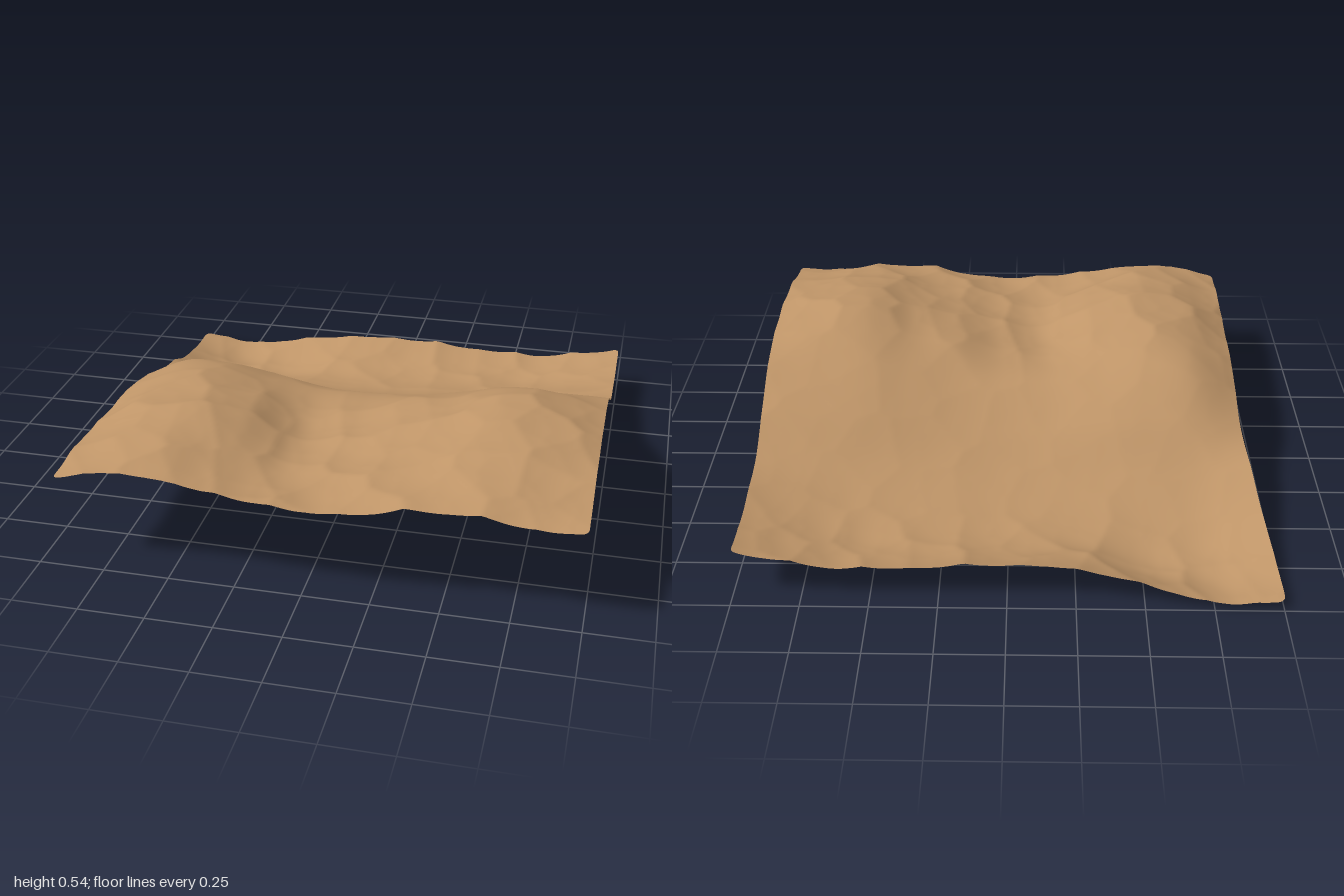
import * as THREE from 'three';

// Broad heights: rows run front to back, columns run from x = -0.92 to x = 1
const HEIGHTS = [
  [.37, .40, .415, .38, .355, .345, .37, .405, .41, .39, .39],
  [.365, .44, .455, .40, .352, .36, .395, .43, .465, .45, .43],
  [.365, .45, .482, .445, .357, .365, .41, .46, .51, .50, .46],
  [.36, .45, .475, .445, .352, .37, .43, .475, .54, .52, .47],
  [.35, .44, .455, .41, .352, .365, .42, .455, .515, .505, .46],
  [.31, .405, .405, .365, .333, .33, .35, .385, .42, .42, .415],
  [.25, .295, .295, .27, .24, .235, .25, .28, .31, .32, .32],
  [.195, .155, .145, .135, .13, .135, .15, .165, .185, .205, .225],
  [.115, .05, .045, .06, .07, .075, .09, .10, .115, .15, .19],
  [.065, .007, .005, .04, .07, .075, .08, .085, .09, .13, .18],
  [.042, .018, .06, .11, .14, .135, .125, .12, .12, .15, .19],
];

// Smooth interpolation through evenly spaced values, t in 0..1
function spline(values, t) {
  const last = values.length - 1;
  const p = THREE.MathUtils.clamp(t, 0, 1) * last;
  const i = Math.min(Math.floor(p), last - 1);
  const f = p - i;
  const b = values[i], c = values[i + 1];
  const a = i > 0 ? values[i - 1] : 2 * b - c;
  const d = i < last - 1 ? values[i + 2] : 2 * c - b;
  return b + 0.5 * f * (c - a + f * (2 * a - 5 * b + 4 * c - d + f * (3 * (b - c) + d - a)));
}

function hash(i, j, seed) {
  const s = Math.sin(i * 127.1 + j * 311.7 + seed * 74.7) * 43758.5453;
  return s - Math.floor(s);
}

// Shallow rounded hollows meeting in soft ridges
function hollows(x, z, size) {
  const px = x / size, pz = z / size;
  const ci = Math.floor(px), cj = Math.floor(pz);
  let nearest = 9;
  for (let i = ci - 1; i <= ci + 1; i++) {
    for (let j = cj - 1; j <= cj + 1; j++) {
      const dx = i + hash(i, j, 1) - px, dz = j + hash(i, j, 2) - pz;
      nearest = Math.min(nearest, dx * dx + dz * dz);
    }
  }
  return Math.min(nearest, 1) - 0.2;
}

// Pull the square's corners onto small arcs
function roundCorner(u, v, r = 0.012) {
  const cu = THREE.MathUtils.clamp(u, r, 1 - r), cv = THREE.MathUtils.clamp(v, r, 1 - r);
  const du = u - cu, dv = v - cv;
  if (du === 0 || dv === 0) return [u, v];
  const k = Math.max(Math.abs(du), Math.abs(dv)) / Math.hypot(du, dv);
  return [cu + du * k, cv + dv * k];
}

export function createModel() {
  const group = new THREE.Group();
  group.name = 'terrain';

  const earth = new THREE.MeshStandardMaterial({ color: 0xbf9568, side: THREE.DoubleSide });
  earth.name = 'sandy earth';

  const N = 160;
  const geometry = new THREE.PlaneGeometry(1, 1, N, N).rotateX(-Math.PI / 2);
  const pos = geometry.attributes.position;
  for (let n = 0; n < pos.count; n++) {
    // u runs left to right, v runs front to back
    const [u, v] = roundCorner(pos.getX(n) + 0.5, 0.5 - pos.getZ(n));
    let x = -0.92 + 1.915 * u;
    let z = 0.99 - 1.92 * v;

    const base = spline(HEIGHTS.map((row) => spline(row, u)), v);
    // The open slope is smoother than the front and back
    const rough = 0.3 + 0.7 * THREE.MathUtils.smoothstep(Math.abs(z + 0.2), 0.25, 0.6);
    const bumps = 0.028 * hollows(x, z, 0.19) + 0.004 * hollows(x + 3, z + 5, 0.1);

    // The back corner at -x is drawn outwards
    const back = THREE.MathUtils.smoothstep(-z, 0.05, 0.9);
    const side = 1 - THREE.MathUtils.smoothstep(x, -0.95, -0.1);
    x -= 0.08 * back * Math.pow(1 - u, 3);
    z -= 0.07 * side * Math.pow(v, 4);
    pos.setXYZ(n, x, base + rough * bumps, z);
  }
  geometry.computeVertexNormals();
  geometry.computeBoundingBox();
  geometry.translate(0, -geometry.boundingBox.min.y, 0);

  const ground = new THREE.Mesh(geometry, earth);
  ground.name = 'hillside';
  group.add(ground);
  return group;
}
